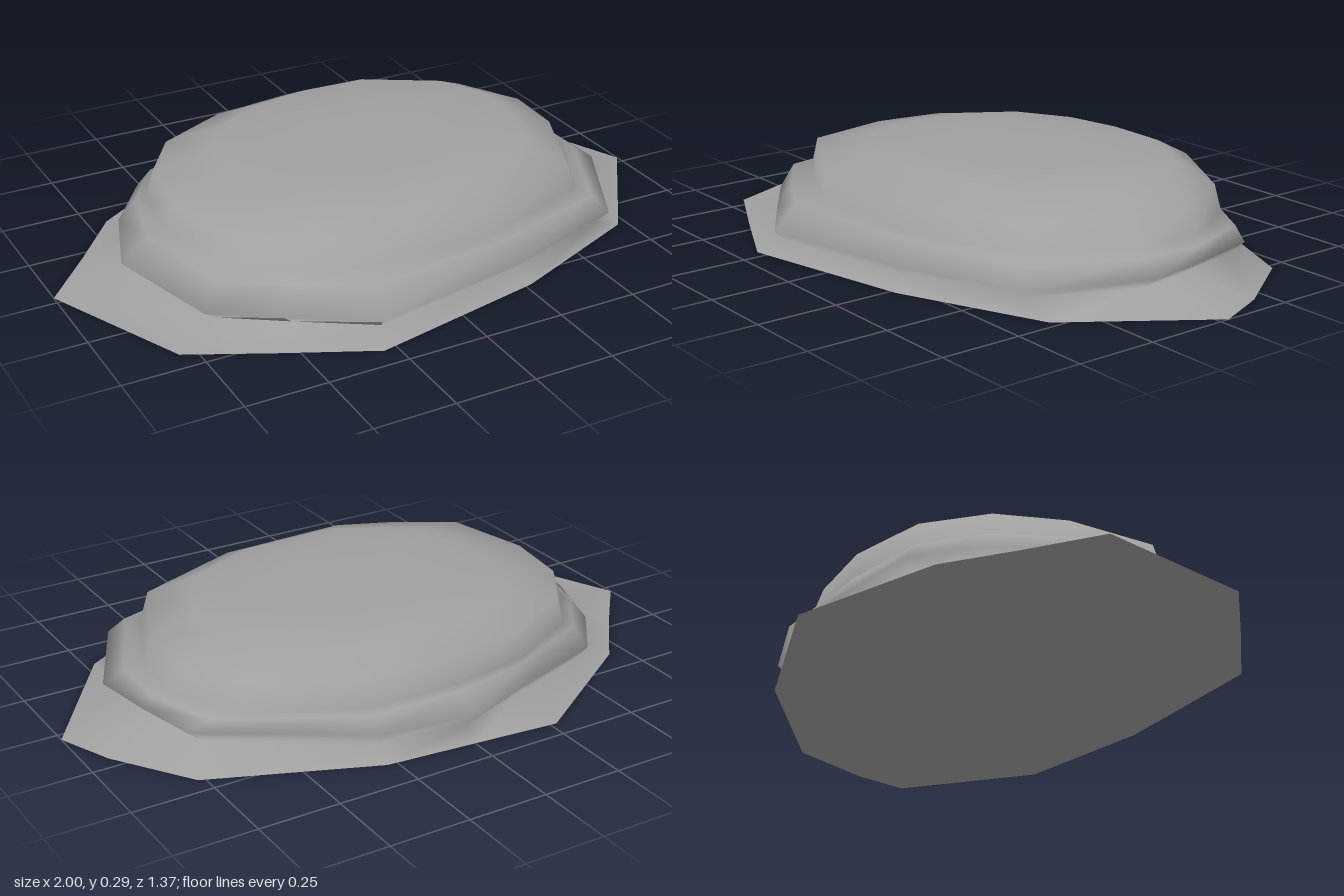
import * as THREE from 'three';

// Outlines as x, z pairs, counter-clockwise seen from above, starting at +x.
const BASE = [1, -.03, .93, -.2, .77, -.44, .28, -.64, 0, -.665, -.27, -.69, -.69, -.41,
  -.84, -.22, -1, -.03, -.8, .43, -.55, .555, -.29, .68, .27, .56, .72, .37];
const LIP = [.82, .07, .79, -.14, .75, -.34, .3, -.63, 0, -.66, -.25, -.57, -.56, -.46,
  -.7, -.27, -.79, -.02, -.69, .35, -.5, .48, -.27, .63, .25, .54, .65, .41];
const LEDGE = [.76, .05, .76, -.16, .69, -.36, .3, -.58, 0, -.59, -.25, -.54, -.53, -.42,
  -.65, -.25, -.71, 0, -.64, .33, -.46, .45, -.26, .56, .23, .49, .61, .37];
const SHOULDER = [.68, .02, .69, -.18, .58, -.38, .28, -.55, 0, -.56, -.25, -.52, -.48, -.4,
  -.6, -.22, -.63, 0, -.57, .28, -.4, .39, -.22, .47, .2, .46, .55, .32];

// Turns an outline into points; sx, sz scale it, tx, tz tilt its height.
function ring(outline, y, { sx = 1, sz = 1, dx = 0, dz = 0, tx = 0, tz = 0 } = {}) {
  const points = [];
  for (let i = 0; i < outline.length; i += 2) {
    const x = outline[i] * sx + dx, z = outline[i + 1] * sz + dz;
    points.push([x, y + tx * x + tz * z, z]);
  }
  return points;
}

// Skins a stack of rings and closes it at a centre point.
function loft(rings, centre) {
  const n = rings[0].length, index = [];
  const positions = [...rings.flat(2), ...centre];
  for (let r = 0; r < rings.length - 1; r++) {
    for (let i = 0; i < n; i++) {
      const a = r * n + i, b = r * n + (i + 1) % n;
      index.push(a, b, b + n, a, b + n, a + n);
    }
  }
  const last = (rings.length - 1) * n;
  for (let i = 0; i < n; i++) index.push(last + i, last + (i + 1) % n, rings.length * n);
  const geometry = new THREE.BufferGeometry();
  geometry.setAttribute('position', new THREE.Float32BufferAttribute(positions, 3));
  geometry.setIndex(index);
  geometry.computeVertexNormals();
  return geometry;
}

export function createModel() {
  const stone = new THREE.MeshStandardMaterial({ color: 0xa0a0a0 });
  stone.name = 'stone grey';
  const group = new THREE.Group();
  group.name = 'flatRock';

  // Weathered body: skirt, undercut, lip, ledge, upper slab and flat crown
  const body = new THREE.Mesh(loft([
    ring(BASE, 0),
    ring(LIP, .035, { sx: .93, sz: .94, tx: .015, tz: -.01 }),
    ring(LIP, .077, { tx: .015, tz: -.02 }),
    ring(LEDGE, .135, { tx: -.01 }),
    ring(SHOULDER, .15, { sx: 1.04, sz: 1.02, tx: -.01 }),
    ring(SHOULDER, .23, { tx: -.01 }),
    ring(SHOULDER, .28, { sx: .74, sz: .79, dx: .04, dz: -.02 }),
    ring(SHOULDER, .288, { sx: .4, sz: .42, dx: .02, dz: -.01 }),
  ], [.02, .29, -.02]), stone);
  body.name = 'rockBody';
  group.add(body);

  // Flat underside
  const under = new THREE.Mesh(loft([ring(BASE, 0).reverse()], [0, 0, 0]), stone);
  under.name = 'rockUnderside';
  group.add(under);

  return group;
}
